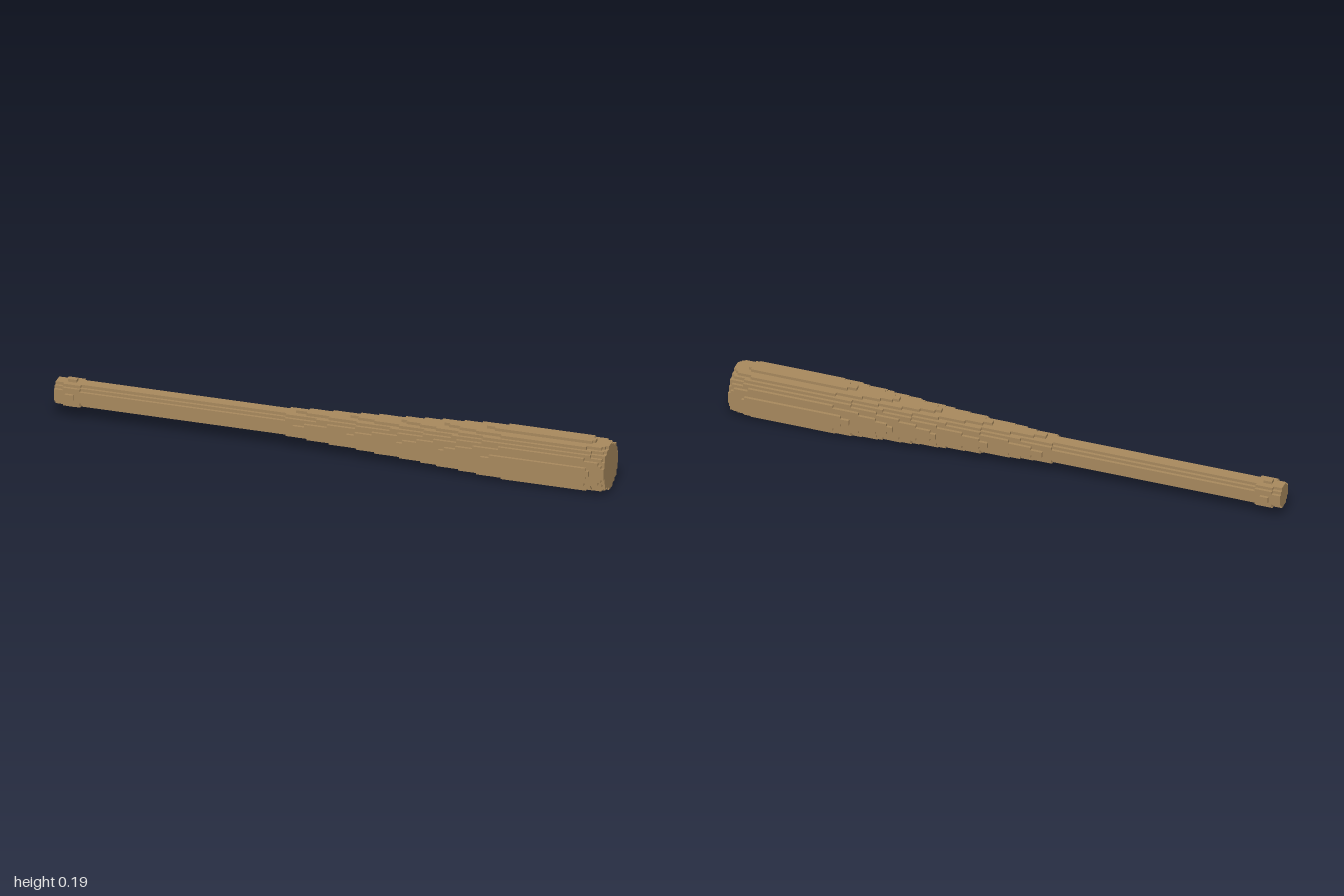
import * as THREE from 'three';

const LENGTH = 194, HALF = 9;          // size in cells
const CELL = 2 / LENGTH;

// Bat radius in cells at points along x, from knob to tip
const PROFILE = [
  [-1, 4.1], [-0.975, 4.1], [-0.97, 4.4], [-0.962, 4.4], [-0.96, 4.6],
  [-0.93, 4.6], [-0.925, 4.4], [-0.905, 4.4], [-0.9, 4.1],
  [-0.2, 4.1], [-0.13, 4.53], [0.06, 5.52], [0.25, 6.52], [0.4, 7.52],
  [0.56, 8.52], [0.63, 8.8], [0.93, 8.8], [0.95, 8.4], [0.982, 8.25],
  [0.99, 7.8], [1, 7.8],
];

function radiusAt(x) {
  const k = Math.max(1, PROFILE.findIndex((p) => p[0] >= x));
  const [x0, r0] = PROFILE[k - 1], [x1, r1] = PROFILE[k];
  return r0 + ((r1 - r0) * (x - x0)) / (x1 - x0);
}

const radii = Array.from({ length: LENGTH }, (_, i) => radiusAt((i + 0.5) * CELL - 1));
const solid = (i, y, z) => i >= 0 && i < LENGTH && Math.hypot(y, z) <= radii[i];

function buildCells() {
  const positions = [], normals = [];

  // Rectangle about c with half-extents u and v, facing n = u x v
  function quad(c, u, v, n) {
    for (const [a, b] of [[-1, -1], [1, -1], [1, 1], [-1, -1], [1, 1], [-1, 1]]) {
      const p = c.map((q, k) => q + a * u[k] + b * v[k]);
      positions.push(p[0] * CELL - 1, (p[1] + HALF) * CELL, p[2] * CELL);
      normals.push(...n);
    }
  }

  for (let y = 0.5 - HALF; y < HALF; y++) {
    for (let z = 0.5 - HALF; z < HALF; z++) {
      // Long side faces, joined into runs along x
      for (const [dy, dz] of [[1, 0], [-1, 0], [0, 1], [0, -1]]) {
        let start = -1;
        for (let i = 0; i <= LENGTH; i++) {
          const open = solid(i, y, z) && !solid(i, y + dy, z + dz);
          if (open && start < 0) start = i;
          if (!open && start >= 0) {
            quad([(start + i) / 2, y + dy / 2, z + dz / 2],
              [(i - start) / 2, 0, 0], [0, dz / 2, -dy / 2], [0, dy, dz]);
            start = -1;
          }
        }
      }
      // Step faces and the two flat ends
      for (let i = 0; i < LENGTH; i++) {
        if (!solid(i, y, z)) continue;
        for (const s of [-1, 1]) {
          if (solid(i + s, y, z)) continue;
          quad([i + 0.5 + s / 2, y, z], [0, 0.5, 0], [0, 0, s / 2], [s, 0, 0]);
        }
      }
    }
  }

  const geometry = new THREE.BufferGeometry();
  geometry.setAttribute('position', new THREE.Float32BufferAttribute(positions, 3));
  geometry.setAttribute('normal', new THREE.Float32BufferAttribute(normals, 3));
  return geometry;
}

export function createModel() {
  const group = new THREE.Group();
  group.name = 'baseballBat';
  const wood = new THREE.MeshStandardMaterial({ color: 0xa98a5e });
  const bat = new THREE.Mesh(buildCells(), wood);
  bat.name = 'bat';
  group.add(bat);
  return group;
}
